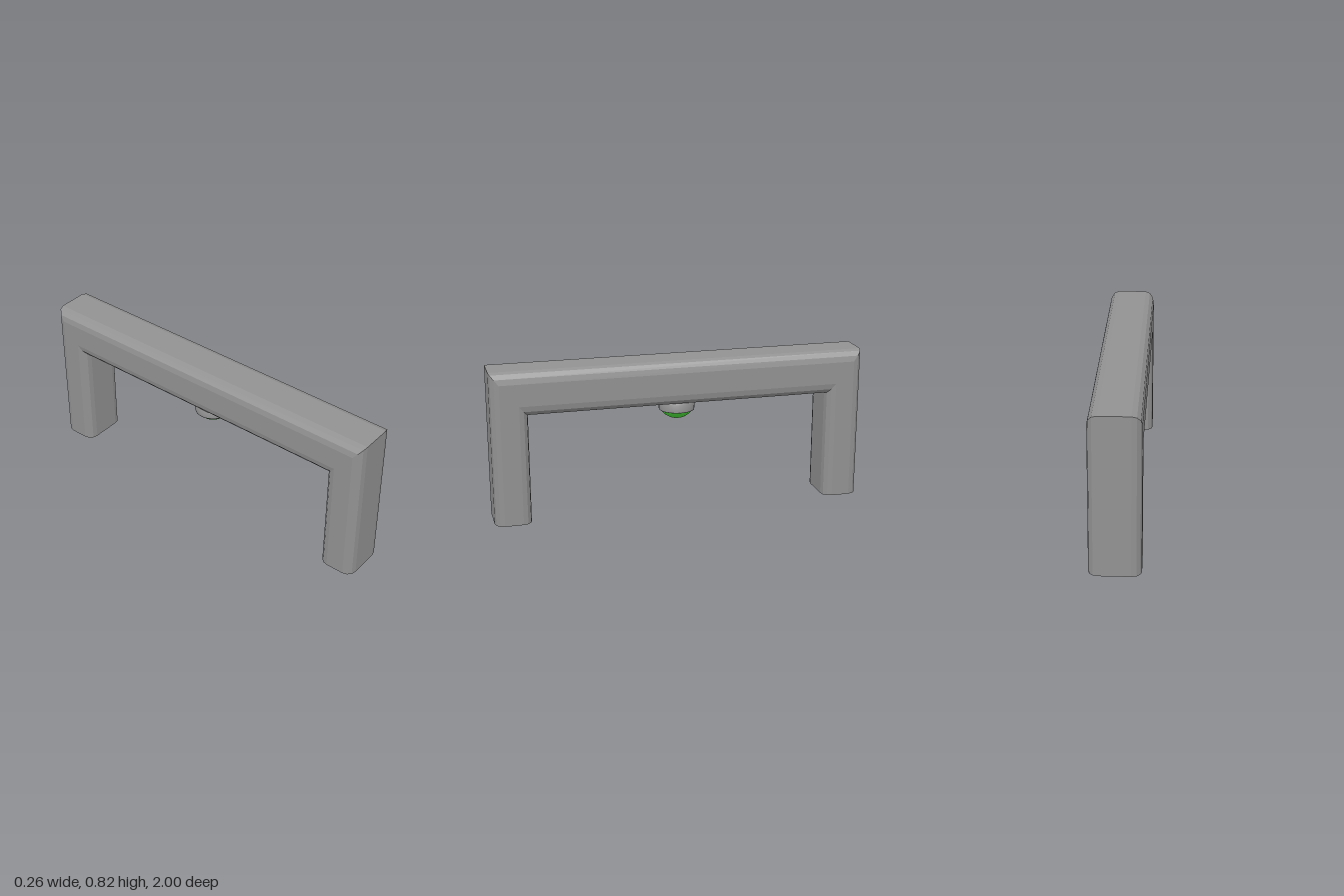
import * as THREE from 'three';

const LEG = 0.195, BEAM = 0.236, HEIGHT = 0.818, HALF = 0.129;
const RX = 0.05, RT = 0.25; // corner radii across the width and through the thickness

// Rounded section: x across the width, t from outer face (0) to inner face (1)
function section() {
  const pts = [];
  const centres = [[-1, RT], [1, RT], [1, 1 - RT], [-1, 1 - RT]];
  centres.forEach(([sx, ct], c) => {
    for (let j = 0; j <= 3; j++) {
      const a = Math.PI * (1 + c / 2 + j / 6);
      pts.push([sx * (HALF - RX) + RX * Math.cos(a), ct + RT * Math.sin(a)]);
    }
  });
  return pts;
}

// Sweep the section up one leg, along the beam and down the other, with mitred corners
function archGeometry() {
  const profile = section(), n = profile.length;
  const stations = [[1, false], [1, true], [-1, true], [-1, false]];
  const positions = [], index = [];
  for (const [side, top] of stations)
    for (const [x, t] of profile)
      positions.push(x, top ? HEIGHT - BEAM * t : 0, side * (1 - LEG * t));
  for (let k = 0; k < 3; k++)
    for (let i = 0; i < n; i++) {
      const a = k * n + i, b = k * n + (i + 1) % n;
      index.push(a, b, a + n, b, b + n, a + n);
    }
  const g = new THREE.BufferGeometry();
  g.setAttribute('position', new THREE.Float32BufferAttribute(positions, 3));
  g.setIndex(index);
  const flat = g.toNonIndexed();
  flat.computeVertexNormals();
  return flat;
}

function add(group, name, geometry, material) {
  const mesh = new THREE.Mesh(geometry, material);
  mesh.name = name;
  group.add(mesh);
}

export function createModel() {
  const group = new THREE.Group();
  group.name = 'archWithLamp';
  const steel = new THREE.MeshStandardMaterial({ color: 0x929292, side: THREE.DoubleSide });
  const flatSteel = new THREE.MeshStandardMaterial({ color: 0x929292, flatShading: true, side: THREE.DoubleSide });
  const green = new THREE.MeshStandardMaterial({ color: 0x4be03a, side: THREE.DoubleSide });

  // Square arch, hollow with open feet
  add(group, 'arch', archGeometry(), flatSteel);

  // Lamp housing under the middle of the beam
  const housing = [[0.088, 0.53], [0.094, 0.532], [0.095, 0.536], [0.095, 0.574], [0.083, 0.588]]
    .map(([r, y]) => new THREE.Vector2(r, y));
  add(group, 'lampHousing', new THREE.LatheGeometry(housing, 32), steel);

  // Shallow green lens, a spherical cap
  const r = 0.088, h = 0.049, R = (r * r + h * h) / (2 * h), span = Math.asin(r / R);
  const lens = new THREE.SphereGeometry(R, 32, 10, 0, Math.PI * 2, Math.PI - span, span);
  lens.translate(0, 0.532 - h + R, 0);
  add(group, 'lampLens', lens, green);

  return group;
}
